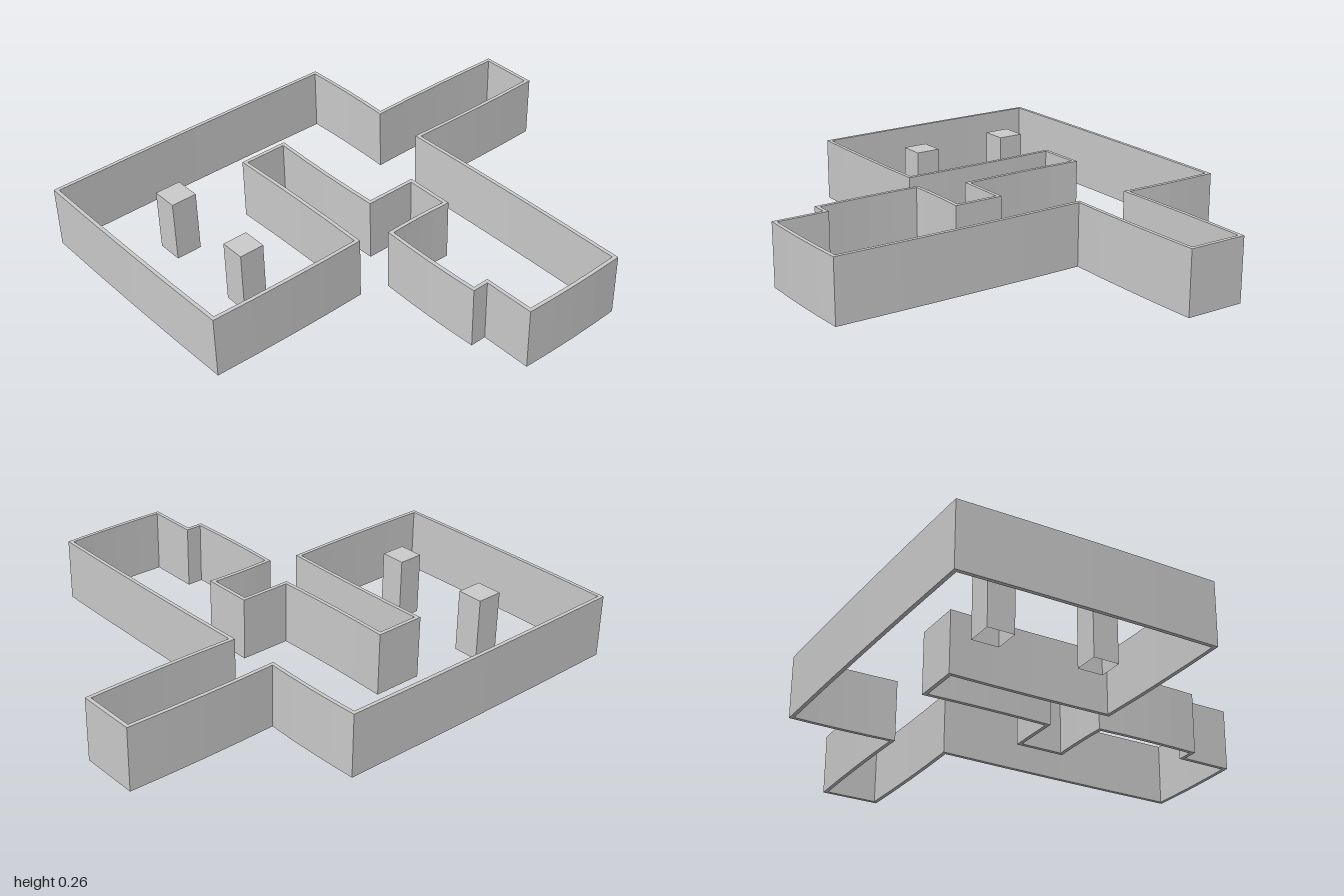
import * as THREE from 'three';

const HEIGHT = 0.265;
const THICKNESS = 0.016;

// Wall centre line on the ground as [x, z]
const CORNERS = [
  [-0.446, -0.992], [-0.208, -0.992], [-0.208, -0.342], [0.879, -0.342],
  [0.879, 0.113], [0.66, 0.113], [0.66, 0.182], [0.207, 0.182],
  [0.207, -0.105], [0.008, -0.105], [0.008, 0.113], [-0.536, 0.113],
  [-0.536, 0.312], [0.16, 0.312], [0.16, 0.987], [-0.881, 0.987],
  [-0.881, -0.342], [-0.446, -0.342],
];

// Each longer run bows slightly outwards between its corners
function bowedLine(corners) {
  const points = [];
  corners.forEach(([ax, az], i) => {
    const [bx, bz] = corners[(i + 1) % corners.length];
    const dx = bx - ax, dz = bz - az, length = Math.hypot(dx, dz);
    const bow = Math.min(0.005, length * 0.012);
    const steps = length > 0.25 ? 4 : 1;
    for (let s = 0; s < steps; s++) {
      const t = s / steps, b = 4 * t * (1 - t) * bow / length;
      points.push(new THREE.Vector2(ax + dx * t + dz * b, az + dz * t - dx * b));
    }
  });
  return points;
}

// Mitred offset of the closed line, positive is outwards
function offsetLine(points, distance) {
  const n = points.length;
  return points.map((p, i) => {
    const d1 = p.clone().sub(points[(i + n - 1) % n]).normalize();
    const d2 = points[(i + 1) % n].clone().sub(p).normalize();
    const n1 = new THREE.Vector2(d1.y, -d1.x);
    const n2 = new THREE.Vector2(d2.y, -d2.x);
    const miter = n1.clone().add(n2).multiplyScalar(distance / (1 + n1.dot(n2)));
    const q = p.clone().add(miter);
    return new THREE.Vector2(q.x, -q.y); // shape y becomes -z
  });
}

// Square post without a bottom face
function openPost(size) {
  const geometry = new THREE.BoxGeometry(size, HEIGHT, size);
  const index = Array.from(geometry.index.array);
  index.splice(18, 6);
  geometry.setIndex(index);
  geometry.clearGroups();
  return geometry;
}

export function createModel() {
  const group = new THREE.Group();
  group.name = 'floorPlan';
  const material = new THREE.MeshStandardMaterial({
    color: 0xcccccc, flatShading: true, side: THREE.DoubleSide,
  });

  // Continuous thin wall around all rooms, the hole wound opposite to the outline
  const line = bowedLine(CORNERS);
  const shape = new THREE.Shape(offsetLine(line, THICKNESS / 2));
  shape.holes.push(new THREE.Path(offsetLine(line, -THICKNESS / 2).reverse()));
  const wallGeometry = new THREE.ExtrudeGeometry(shape, { depth: HEIGHT, bevelEnabled: false });
  wallGeometry.rotateX(-Math.PI / 2);
  const wall = new THREE.Mesh(wallGeometry, material);
  wall.name = 'outerWall';
  group.add(wall);

  // Two square pillars in the front room
  for (const [name, x, size] of [['rightPillar', -0.547, 0.112], ['leftPillar', -0.109, 0.107]]) {
    const pillar = new THREE.Mesh(openPost(size), material);
    pillar.name = name;
    pillar.position.set(x, HEIGHT / 2, 0.648);
    group.add(pillar);
  }
  return group;
}
